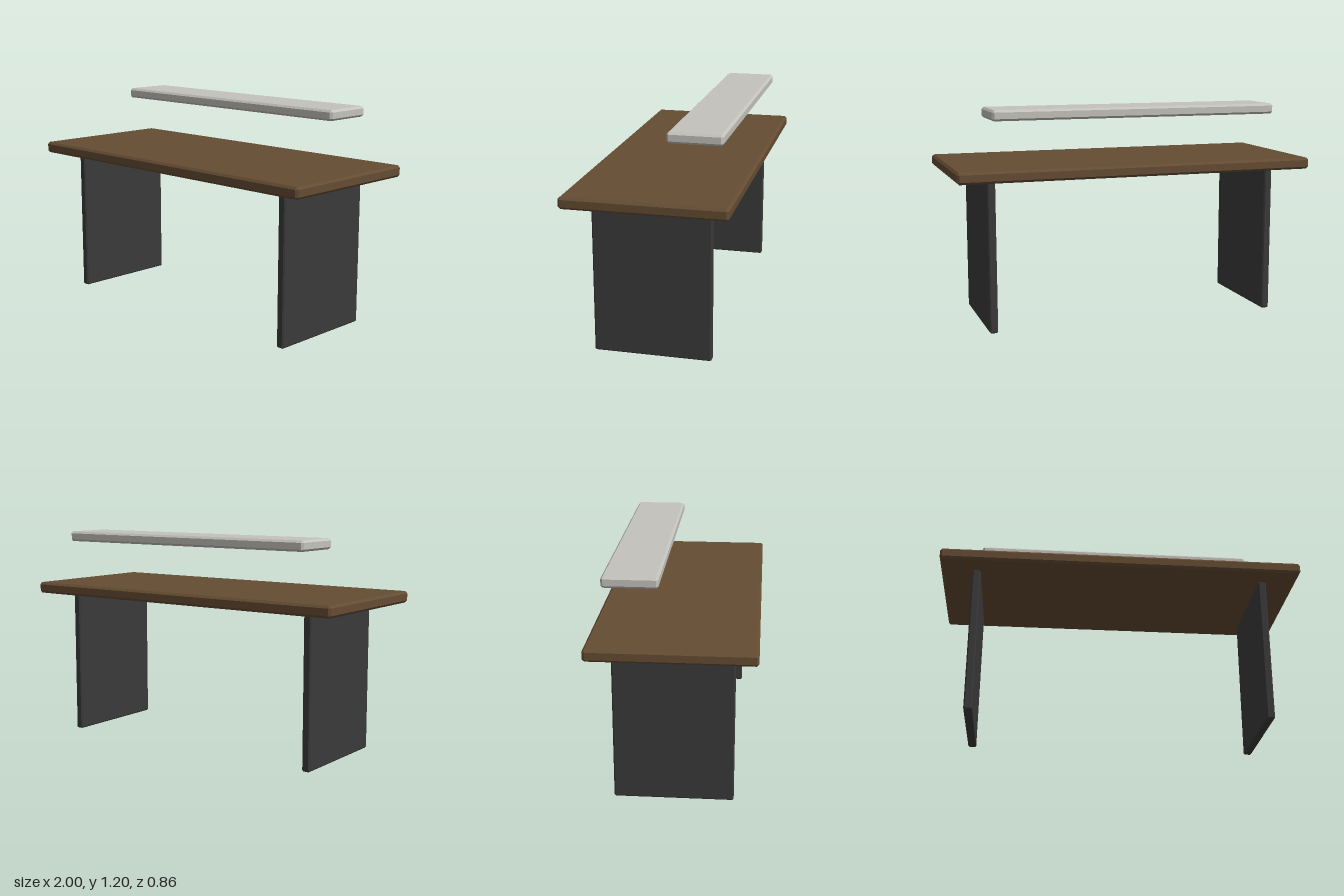
import * as THREE from 'three';
import { ConvexGeometry } from 'three/addons/geometries/ConvexGeometry.js';

const material = (name, color) => {
  const m = new THREE.MeshStandardMaterial({ color });
  m.name = name;
  return m;
};

// Box whose twelve edges are cut at 45 degrees by the amount c
function chamferedBox(w, h, d, c) {
  const points = [];
  for (const sx of [-1, 1]) for (const sy of [-1, 1]) for (const sz of [-1, 1]) {
    const [x, y, z] = [w / 2, h / 2, d / 2];
    points.push(
      new THREE.Vector3(sx * x, sy * (y - c), sz * (z - c)),
      new THREE.Vector3(sx * (x - c), sy * y, sz * (z - c)),
      new THREE.Vector3(sx * (x - c), sy * (y - c), sz * z)
    );
  }
  return new ConvexGeometry(points);
}

export function createModel() {
  const group = new THREE.Group();
  group.name = 'desk';
  const wood = material('brown wood', 0x654c33);
  const metal = material('charcoal', 0x3a3a3a);
  const pale = material('pale grey', 0xc4c2bc);

  const add = (name, geometry, mat, x, y, z) => {
    const mesh = new THREE.Mesh(geometry, mat);
    mesh.name = name;
    mesh.position.set(x, y, z);
    group.add(mesh);
  };

  // Desktop, just clear of the legs
  add('desktop', chamferedBox(2, 0.063, 0.857, 0.0125), wood, 0, 0.858, 0);

  // Slab legs, one at each end
  const leg = chamferedBox(0.045, 0.822, 0.626, 0.007);
  add('leftLeg', leg, metal, 0.803, 0.411, 0);
  add('rightLeg', leg, metal, -0.803, 0.411, 0);

  // Floating shelf above the back half
  add('shelf', chamferedBox(1.6, 0.057, 0.286, 0.0115), pale, 0, 1.167, -0.216);

  return group;
}
